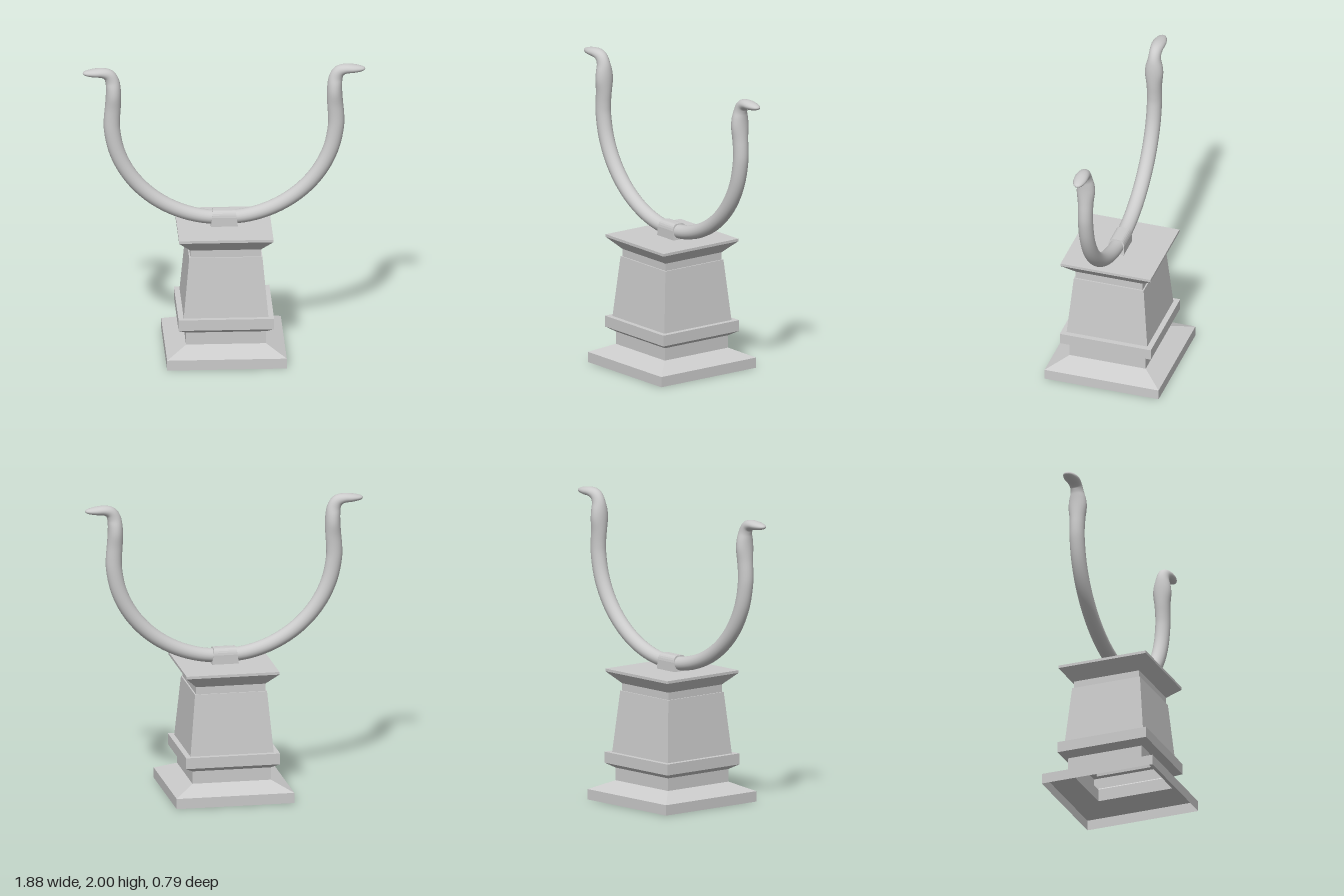
import * as THREE from 'three';

const grey = (opts = {}) => new THREE.MeshStandardMaterial({ color: 0xcccccc, side: THREE.DoubleSide, ...opts });

// Square stepped pedestal, hollow and open underneath: [half width, height]
function makePedestal() {
  const profile = [
    [0.397, 0], [0.397, 0.07], [0.265, 0.132], [0.265, 0.217], [0.317, 0.249],
    [0.317, 0.323], [0.281, 0.323], [0.243, 0.736], [0.234, 0.736], [0.234, 0.786],
    [0.313, 0.865], [0.313, 0.883], [0, 0.883],
  ].map(([w, y]) => new THREE.Vector2(w * Math.SQRT2, y));
  const mesh = new THREE.Mesh(new THREE.LatheGeometry(profile, 4, Math.PI / 4), grey({ flatShading: true }));
  mesh.name = 'pedestal';
  return mesh;
}

// One horn: elliptical rings swept along a path in the xy plane
function hornGeometry() {
  // Keys: x, y, radius in the plane, radius in z
  const keys = [];
  for (let i = 0; i <= 8; i++) {
    const a = (i / 8) * 1.48;
    keys.push([0.745 * Math.sin(a), 1.62 - 0.69 * Math.cos(a), 0.046 + 0.001 * i, 0.05]);
  }
  keys.push(
    [0.744, 1.64, 0.054, 0.05], [0.738, 1.72, 0.053, 0.053], [0.734, 1.8, 0.051, 0.062],
    [0.735, 1.86, 0.049, 0.057], [0.742, 1.91, 0.046, 0.044], [0.764, 1.95, 0.041, 0.041],
    [0.806, 1.968, 0.033, 0.045], [0.86, 1.969, 0.028, 0.045], [0.905, 1.968, 0.02, 0.034],
    [0.93, 1.968, 0.011, 0.019], [0.938, 1.968, 0.001, 0.001],
  );
  const path = new THREE.CatmullRomCurve3(keys.map((k) => new THREE.Vector3(k[0], k[1], 0)), false, 'catmullrom');
  const radii = new THREE.CatmullRomCurve3(keys.map((k) => new THREE.Vector3(k[2], k[3], 0)), false, 'catmullrom');
  const rings = 76, sides = 20;
  const positions = [], index = [];
  for (let i = 0; i <= rings; i++) {
    const t = i / rings;
    const p = path.getPoint(t), r = radii.getPoint(t), d = path.getTangent(t);
    for (let j = 0; j < sides; j++) {
      const a = (j / sides) * Math.PI * 2;
      const n = r.x * Math.cos(a);
      positions.push(p.x - d.y * n, p.y + d.x * n, r.y * Math.sin(a));
      if (i < rings) {
        const k = i * sides, m = (j + 1) % sides;
        index.push(k + j, k + m, k + sides + j, k + m, k + sides + m, k + sides + j);
      }
    }
  }
  const geometry = new THREE.BufferGeometry();
  geometry.setAttribute('position', new THREE.Float32BufferAttribute(positions, 3));
  geometry.setIndex(index);
  geometry.computeVertexNormals();
  return geometry;
}

// Arched sleeve holding the horns, slightly narrower at the top
function makeClamp() {
  const arch = new THREE.Shape();
  arch.moveTo(-0.055, 0.882);
  arch.lineTo(0.055, 0.882);
  arch.lineTo(0.055, 0.945);
  arch.quadraticCurveTo(0.05, 0.987, 0.02, 0.988);
  arch.lineTo(-0.02, 0.988);
  arch.quadraticCurveTo(-0.05, 0.987, -0.055, 0.945);
  arch.closePath();
  const geometry = new THREE.ExtrudeGeometry(arch, { depth: 0.18, bevelEnabled: false, curveSegments: 5 });
  geometry.translate(0, 0, -0.09);
  geometry.rotateY(Math.PI / 2);
  const pos = geometry.attributes.position;
  for (let i = 0; i < pos.count; i++) {
    pos.setX(i, pos.getX(i) * (1 - 1.5 * (pos.getY(i) - 0.882)));
  }
  geometry.computeVertexNormals();
  const mesh = new THREE.Mesh(geometry, grey({ flatShading: true }));
  mesh.name = 'clamp';
  return mesh;
}

export function createModel() {
  const model = new THREE.Group();
  model.name = 'hornedPedestal';
  model.add(makePedestal(), makeClamp());

  // The horn is symmetric in z, so half a turn gives its partner
  const geometry = hornGeometry(), material = grey();
  for (const [name, turn] of [['leftHorn', 0], ['rightHorn', Math.PI]]) {
    const horn = new THREE.Mesh(geometry, material);
    horn.name = name;
    horn.rotation.y = turn;
    model.add(horn);
  }
  return model;
}
